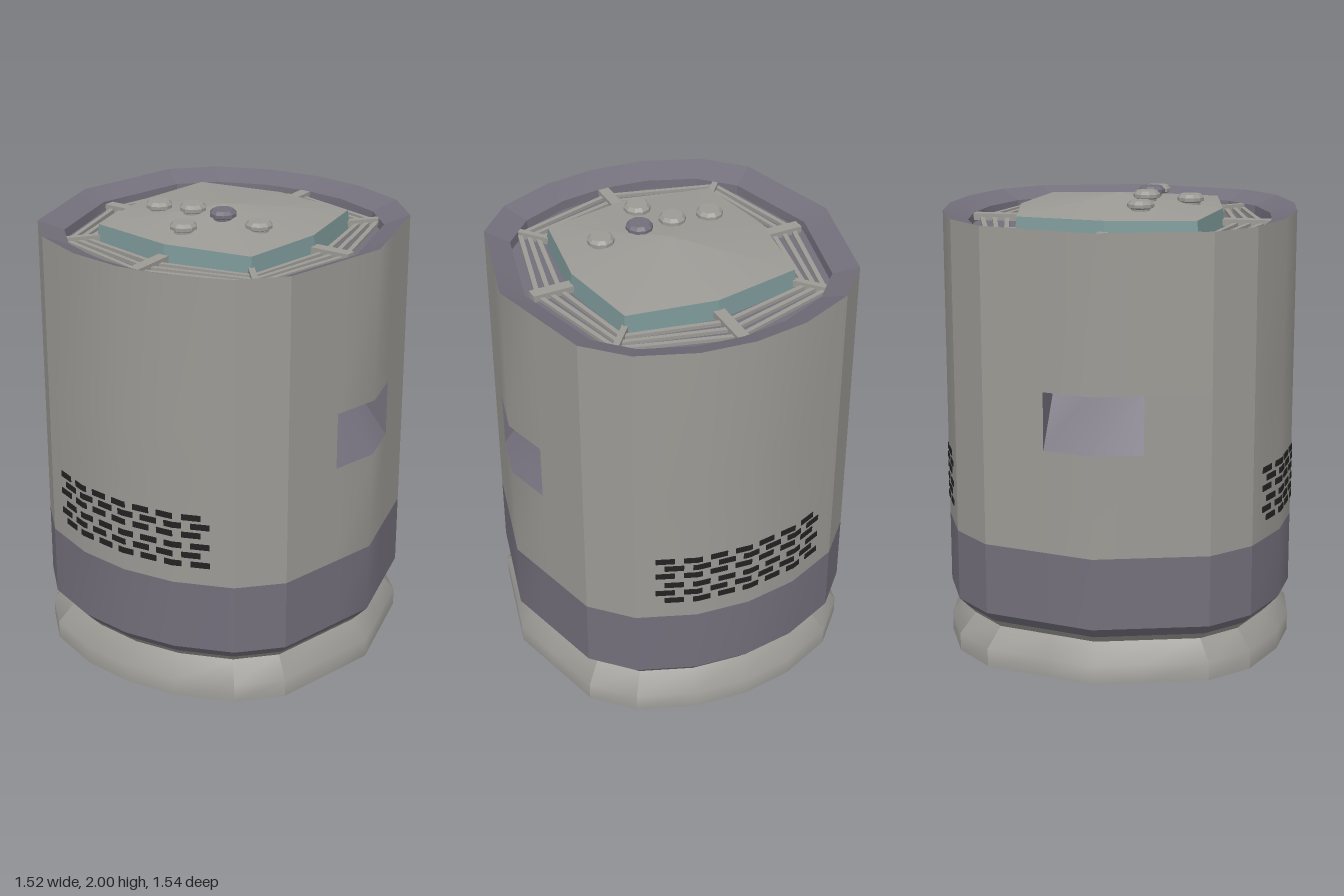
import * as THREE from 'three';
import { mergeGeometries } from 'three/addons/utils/BufferGeometryUtils.js';

const mat = (name, color) => new THREE.MeshStandardMaterial({ name, color });

// Half of the plan outline as [x, z] panels; the other half is turned by 180 degrees.
// Each panel is shaded smoothly, with a crease between panels.
const HALF = [
  [[-0.48, 0.64], [-0.235, 0.737], [0, 0.765], [0.235, 0.737], [0.48, 0.64]],
  [[0.48, 0.64], [0.637, 0.48]],
  [[0.637, 0.48], [0.706, 0.21], [0.76, 0], [0.706, -0.21], [0.637, -0.48]],
  [[0.637, -0.48], [0.48, -0.64]],
];
const turn = ([x, z]) => [-x, -z];
const OUTLINE = [...HALF, ...HALF.map(p => p.map(turn))];

// Octagons of the top lid and of the grille's outer edge
const LID = [[0, 0.445], [0.385, 0.38], [0.445, 0], [0.385, -0.38],
  [0, -0.445], [-0.385, -0.38], [-0.445, 0], [-0.385, 0.38]];
const GRILLE = [[0, 0.655], [0.49, 0.505], [0.625, 0], [0.49, -0.505],
  [0, -0.655], [-0.49, -0.505], [-0.625, 0], [-0.49, 0.505]];

// Surface through rows of [x, y, z] points
function grid(rows, skip = () => false) {
  const n = rows[0].length, index = [];
  for (let r = 0; r < rows.length - 1; r++) {
    for (let i = 0; i < n - 1; i++) {
      if (skip(r, i)) continue;
      const a = r * n + i, b = a + 1, c = b + n, d = a + n;
      index.push(a, b, c, a, c, d);
    }
  }
  const g = new THREE.BufferGeometry();
  g.setAttribute('position', new THREE.Float32BufferAttribute(rows.flat(2), 3));
  g.setIndex(index);
  g.computeVertexNormals();
  return g;
}

// Sweep a profile of [scale, y] along the panels
function band(panels, profile, skip = () => false) {
  return mergeGeometries(panels.map((pts, p) => grid(
    profile.map(([s, y]) => pts.map(([x, z]) => [x * s, y, z * s])),
    (r, i) => skip(p, r, i))));
}

// Depth of the front wall at a given x
function frontZ(x) {
  const pts = HALF[0];
  const i = Math.max(1, pts.findIndex(p => p[0] >= x));
  const [a, b] = [pts[i - 1], pts[i]];
  return a[1] + (b[1] - a[1]) * (x - a[0]) / (b[0] - a[0]);
}

// One vent slot that bends with the front wall
function slot(x0, y) {
  const x1 = x0 + 0.075, h = 0.026;
  const xs = [x0, ...HALF[0].map(p => p[0]).filter(x => x > x0 && x < x1), x1];
  const at = (x, d) => new THREE.Vector2(x, -(frontZ(x) + d));
  const shape = new THREE.Shape([...xs.map(x => at(x, 0.004)), ...xs.reverse().map(x => at(x, -0.004))]);
  const g = new THREE.ExtrudeGeometry(shape, { depth: h, bevelEnabled: false });
  return g.rotateX(-Math.PI / 2).translate(0, y - h / 2, 0);
}

// Flat bar between two [x, z] points
function bar(a, b, width, height, y) {
  const dx = b[0] - a[0], dz = b[1] - a[1];
  return new THREE.BoxGeometry(Math.hypot(dx, dz), height, width)
    .rotateY(-Math.atan2(dz, dx))
    .translate((a[0] + b[0]) / 2, y, (a[1] + b[1]) / 2);
}

export function createModel() {
  const group = new THREE.Group();
  const grey = mat('warm grey', 0x9c9a95);
  const purple = mat('purple grey', 0x736f7b);
  const teal = mat('dull teal', 0x7c9797);
  const black = mat('vent black', 0x222222);
  const add = (name, geometry, material) => {
    const m = new THREE.Mesh(geometry, material);
    m.name = name;
    group.add(m);
    return m;
  };

  // Base with groove, lower band and main wall with two side openings
  add('underside', band(OUTLINE, [[0, 0], [1, 0]]), purple);
  add('base', mergeGeometries([
    band(OUTLINE, [[1, 0], [1, 0.08], [0.905, 0.165]]),
    band(OUTLINE, [[0.905, 0.165], [0.943, 0.197]])]), grey);
  add('lowerBand', mergeGeometries([
    band(OUTLINE, [[0.943, 0.197], [1, 0.245]]),
    band(OUTLINE, [[1, 0.245], [1, 0.557]])]), purple);
  add('wall', band(OUTLINE, [[1, 0.557], [1, 1], [1, 1.25], [1, 1.917]],
    (p, r, i) => p % 4 === 2 && r === 1 && (i === 1 || i === 2)), grey);

  // Wedge-shaped recess behind each opening
  const front = y => [[0.706, y, 0.21], [0.76, y, 0], [0.706, y, -0.21]];
  const back = [[0.5, 1.25, 0.2], [0.5, 1.25, 0], [0.5, 1.25, -0.2]];
  const cheek = (...tri) => {
    const g = new THREE.BufferGeometry();
    g.setAttribute('position', new THREE.Float32BufferAttribute(tri.flat(), 3));
    g.setIndex([0, 1, 2]);
    g.computeVertexNormals();
    return g;
  };
  const recess = mergeGeometries([
    grid([front(1), back]),
    grid([back, front(1.25)]),
    cheek(front(1)[0], back[0], front(1.25)[0]),
    cheek(front(1)[2], front(1.25)[2], back[2])]);
  add('leftRecess', recess, purple);
  add('rightRecess', recess, purple).rotation.y = Math.PI;

  // Staggered vent slots, front and back
  const slots = [];
  [0.867, 0.827, 0.786, 0.735, 0.692, 0.65].forEach((y, row) => {
    const shift = [0, 0.036, 0, 0.036, 0, 0.036][row];
    for (let i = 0; i < 7; i++) slots.push(slot(-0.4 + shift + i * 0.112, y));
  });
  const vents = mergeGeometries(slots);
  add('frontVents', vents, black);
  add('backVents', vents, black).rotation.y = Math.PI;

  // Sunken rim and the floor under the grille
  add('rim', band(OUTLINE, [[1, 1.917], [0.86, 1.875]]), purple);
  add('rimInner', band(OUTLINE, [[0.86, 1.875], [0.855, 1.835]]), purple);
  add('grilleFloor', band(OUTLINE, [[0.855, 1.835], [0, 1.835]]), purple);

  // Grille: three rings of slats and eight spokes
  const slats = [], spokes = [];
  LID.forEach((p, i) => {
    const j = (i + 1) % 8;
    const mix = (k, t) => [0, 1].map(c => LID[k][c] + (GRILLE[k][c] - LID[k][c]) * t);
    for (const t of [0.3, 0.57, 0.84]) slats.push(bar(mix(i, t), mix(j, t), 0.02, 0.015, 1.853));
    spokes.push(bar(mix(i, -0.1), mix(i, 1), i % 2 ? 0.026 : 0.05, 0.03, 1.86));
  });
  add('grilleSlats', mergeGeometries(slats), grey);
  add('grilleSpokes', mergeGeometries(spokes), grey);

  // Lid: shallow pyramid with coloured sides
  const edges = LID.map((p, i) => [p, LID[(i + 1) % 8]]);
  add('lidSides', band(edges, [[1.02, 1.835], [1, 1.92]]), teal);
  add('lidTop', band([[...LID, LID[0]]], [[1, 1.92], [0, 1.98]]), grey);

  // Buttons standing on the lid
  const profile = [[0.042, -0.01], [0.042, 0.005], [0.058, 0.012], [0.058, 0.026], [0.045, 0.04], [0, 0.04]]
    .map(([r, y]) => new THREE.Vector2(r, y));
  const knob = new THREE.LatheGeometry(profile, 10).toNonIndexed();
  knob.computeVertexNormals();
  [[-0.255, 0.125], [-0.078, 0.125], [0.076, 0.125], [0.255, 0.125], [0, 0.305]].forEach(([x, z], i) => {
    add('button' + (i + 1), knob, i === 2 ? purple : grey)
      .position.set(x, 1.98 - 0.06 * Math.hypot(x, z) / 0.445, z);
  });
  return group;
}
